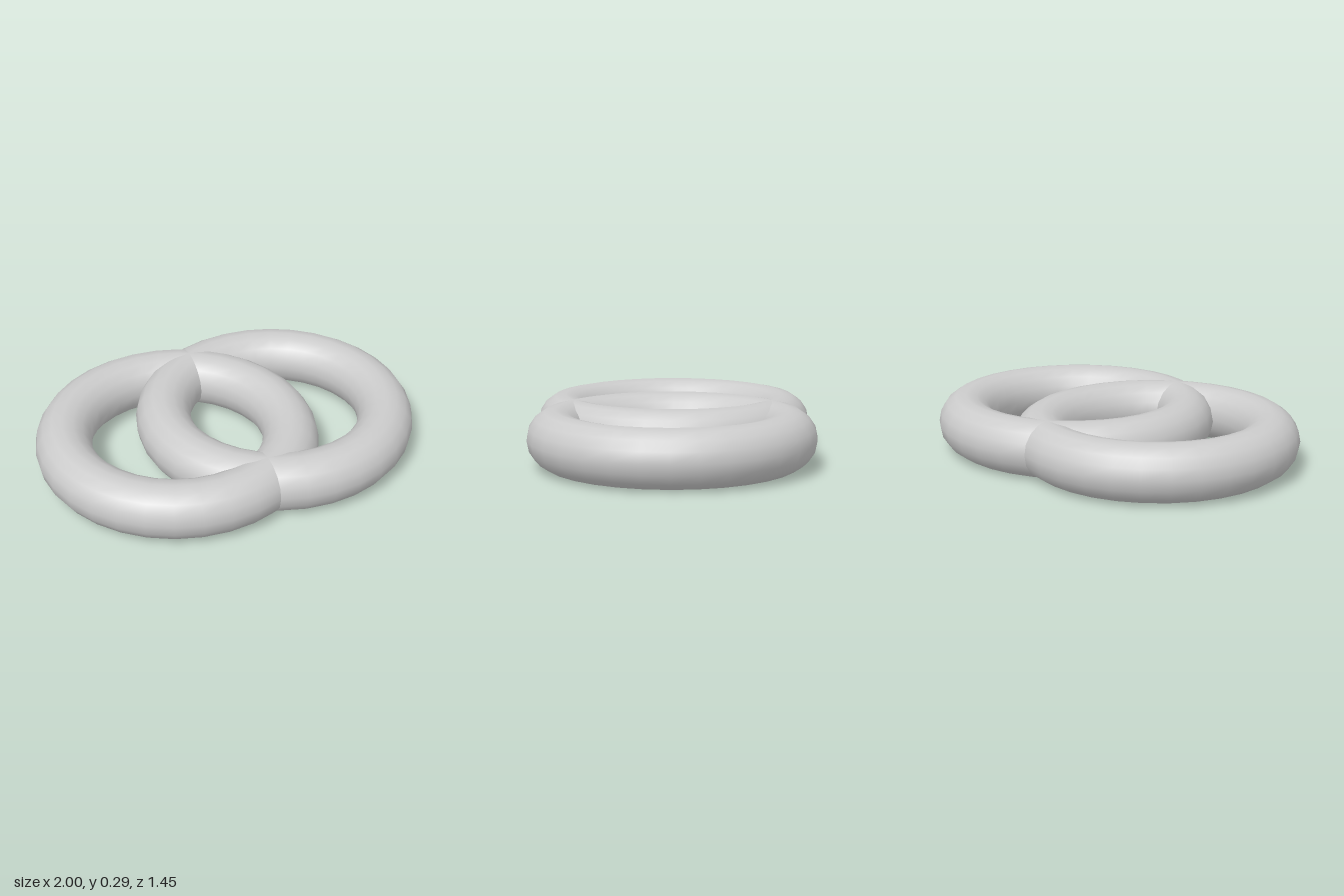
import * as THREE from 'three';

export function createModel() {
  const group = new THREE.Group();
  const material = new THREE.MeshStandardMaterial({ color: 0xcccccc });
  const ringRadius = 0.583, tubeRadius = 0.144, offset = 0.273;

  // Two identical rings lying flat, crossing through each other at x = 0
  const geometry = new THREE.TorusGeometry(ringRadius, tubeRadius, 16, 32);
  geometry.rotateX(-Math.PI / 2);
  for (const [name, side] of [['leftRing', 1], ['rightRing', -1]]) {
    const ring = new THREE.Mesh(geometry, material);
    ring.name = name;
    ring.position.set(side * offset, tubeRadius, 0);
    group.add(ring);
  }
  return group;
}
